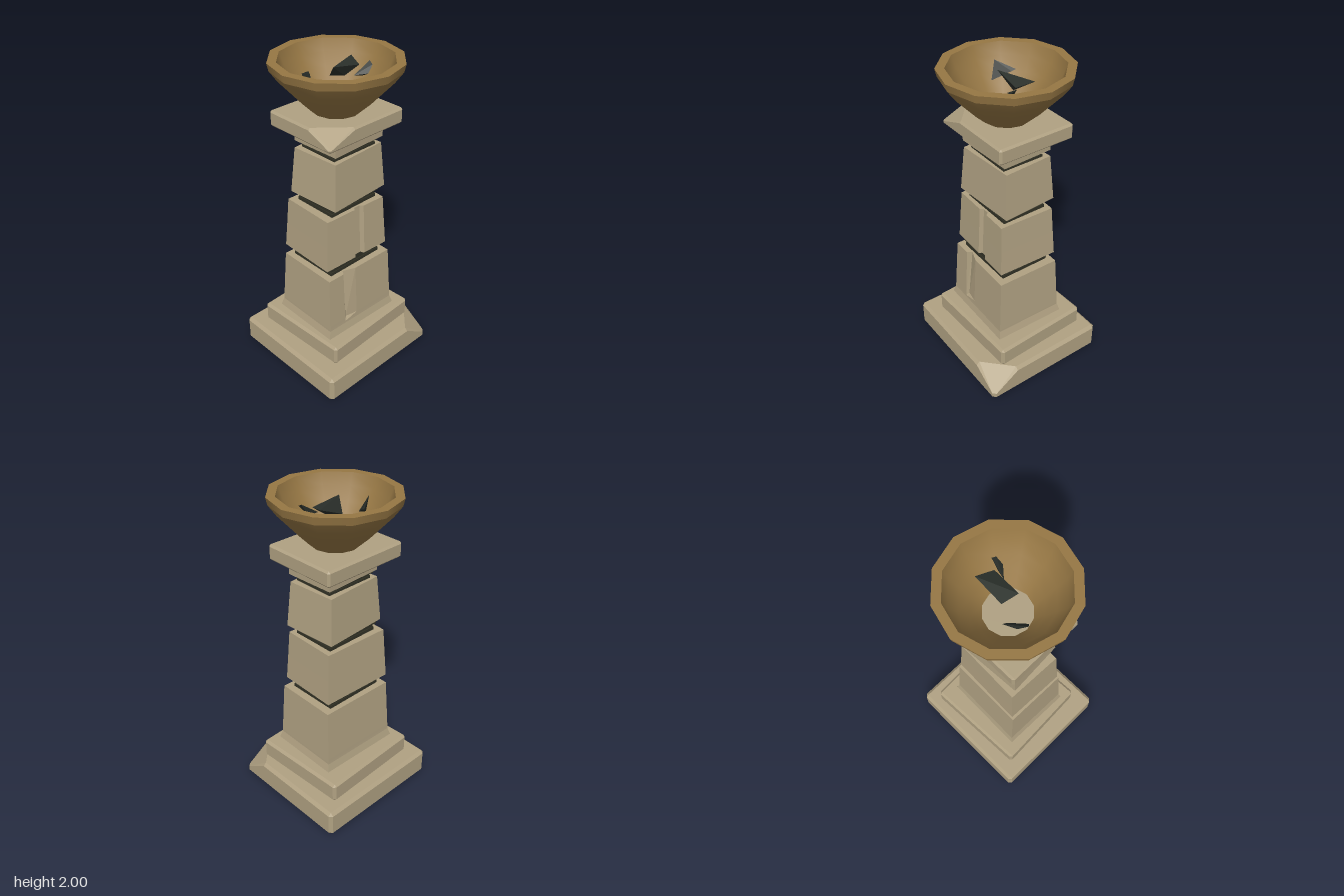
import * as THREE from 'three';
import { ConvexGeometry } from 'three/addons/geometries/ConvexGeometry.js';

const V = (x, y, z) => new THREE.Vector3(x, y, z);

// Bevelled slab; an optional chip slices off one top corner (sx, sz).
// chip.x and chip.z are where the slice meets the top edges, chip.y where it meets the upright edge.
function slab(w, d, y0, y1, c, chip) {
  const pts = [], hx = w / 2, hz = d / 2;
  for (const sx of [-1, 1]) for (const sz of [-1, 1]) for (const top of [0, 1]) {
    const X = sx * hx, Z = sz * hz, xi = sx * (hx - c), zi = sz * (hz - c);
    if (top && chip && chip.sx === sx && chip.sz === sz) {
      pts.push(V(chip.x, y1, zi), V(chip.x, y1 - c, Z), V(xi, y1, chip.z), V(X, y1 - c, chip.z),
        V(xi, chip.y, Z), V(X, chip.y, zi));
    } else {
      const Y = top ? y1 : y0, yi = top ? y1 - c : y0 + c;
      pts.push(V(xi, Y, zi), V(X, yi, zi), V(xi, yi, Z));
    }
  }
  return new ConvexGeometry(pts);
}

// Tapered stone block from rectangular rings [y, width, depth, crackDepth];
// the crack is a list of [x, fraction of crackDepth] along the front edge.
function block(rings, crack = []) {
  const loops = rings.map(([y, w, d, cut = 0]) => [
    V(-w / 2, y, d / 2),
    ...crack.map(([x, f]) => V(x, y, d / 2 - f * cut)),
    V(w / 2, y, d / 2), V(w / 2, y, -d / 2), V(-w / 2, y, -d / 2)]);
  const tris = [], n = loops[0].length, last = loops.length - 1;
  const bottom = V(0, rings[0][0], 0), top = V(0, rings[last][0], 0);
  for (let i = 0; i < n; i++) {
    const j = (i + 1) % n;
    for (let k = 0; k < last; k++) {
      const a = loops[k], b = loops[k + 1];
      tris.push(a[i], a[j], b[j], a[i], b[j], b[i]);
    }
    tris.push(bottom, loops[0][j], loops[0][i], top, loops[last][i], loops[last][j]);
  }
  const g = new THREE.BufferGeometry().setFromPoints(tris);
  g.computeVertexNormals();
  return g;
}

export function createModel() {
  const model = new THREE.Group();
  model.name = 'brazierPedestal';
  const material = (name, color) => {
    const m = new THREE.MeshStandardMaterial({ color });
    m.name = name;
    return m;
  };
  const stone = material('sandstone', 0xb0a182);
  const dark = material('darkBinding', 0x323226);
  const bronze = material('bronze', 0x967744);
  const coal = material('coal', 0x2b302b);

  const add = (name, geometry, mat, x = 0, z = 0, turn = 0, parent = model) => {
    const mesh = new THREE.Mesh(geometry, mat);
    mesh.name = name;
    mesh.position.set(x, 0, z);
    mesh.rotation.y = turn;
    parent.add(mesh);
    return mesh;
  };

  // Base slabs, the lower one with a broken front corner
  add('baseSlab', slab(0.876, 0.83, 0, 0.178, 0.02,
    { sx: 1, sz: 1, x: 0.25, z: 0.23, y: 0.05 }), stone);
  add('upperBaseSlab', slab(0.69, 0.645, 0.175, 0.306, 0.016), stone, 0.01, -0.01, 0.043);

  // Shaft blocks, each turned a little
  add('lowerShaftBlock', block([
    [0.3, 0.56, 0.48], [0.355, 0.528, 0.452], [0.37, 0.527, 0.45],
    [0.39, 0.525, 0.448, 0.014], [0.725, 0.499, 0.41, 0.03],
  ], [[-0.135, 0], [-0.118, 1], [-0.035, 0]]), stone, -0.003, 0.006, -0.02);
  add('middleShaftBlock', block([
    [0.79, 0.483, 0.393, 0.02], [0.95, 0.463, 0.376, 0.02], [1.122, 0.442, 0.359, 0.02],
  ], [[-0.012, 0], [0.004, 1], [0.045, 1], [0.062, 0]]), stone, -0.008, 0, -0.035);
  add('upperShaftBlock', block([[1.187, 0.432, 0.358], [1.475, 0.389, 0.32]]), stone, 0.007, 0.005, 0.06);
  add('neck', block([[1.52, 0.391, 0.324], [1.61, 0.391, 0.324]]), stone, 0.008, 0.01, 0.04);

  // Dark stepped bindings in the gaps between the blocks
  const bindings = [
    ['lowerBinding', 0.722, 0.793, 0.425, 0.352, -0.006, 0.005],
    ['middleBinding', 1.119, 1.19, 0.38, 0.312, 0, 0.003],
    ['upperBinding', 1.472, 1.523, 0.345, 0.29, 0.007, 0.008],
  ];
  for (const [name, y0, y1, w, d, x, z] of bindings) {
    const group = new THREE.Group();
    group.name = name;
    model.add(group);
    const h = (y1 - y0) / 3;
    [0.02, 0.03, 0].forEach((inset, i) => {
      const g = new THREE.BoxGeometry(w - inset, h, d - inset);
      g.translate(0, y0 + h * (i + 0.5), 0);
      add('bindingCourse', g, dark, x, z, 0, group);
    });
  }

  // Cap slab with a broken front corner
  add('capSlab', slab(0.572, 0.494, 1.605, 1.702, 0.012,
    { sx: -1, sz: 1, x: -0.1, z: 0.08, y: 1.625 }), stone);

  // Twelve-sided bowl, separate surfaces keep the rim sharp
  const bowl = new THREE.Group();
  bowl.name = 'bowl';
  model.add(bowl);
  const lathe = (name, profile) => add(name, new THREE.LatheGeometry(
    profile.map(([r, y]) => new THREE.Vector2(r, y)), 12), bronze, 0, 0, 0, bowl);
  lathe('bowlOutside', [[0.14, 1.7], [0.195, 1.75], [0.26, 1.82], [0.325, 1.89], [0.372, 1.955]]);
  lathe('bowlLip', [[0.372, 1.955], [0.382, 2]]);
  lathe('bowlRim', [[0.382, 2], [0.33, 2]]);
  lathe('bowlInside', [[0.33, 2], [0.305, 1.93], [0.255, 1.855], [0.195, 1.775], [0.14, 1.703]]);

  // Coal shards lying in the bowl
  const shards = [
    [[-0.05, 1.963, 0.025], [-0.005, 1.885, -0.05], [0.17, 1.957, -0.06], [0.135, 1.935, 0.04], [0.06, 1.88, 0]],
    [[-0.2, 1.945, -0.06], [-0.165, 1.845, -0.015], [-0.09, 1.91, -0.13], [-0.1, 1.9, -0.105], [-0.15, 1.87, -0.085]],
    [[0.08, 1.89, 0.052], [0.185, 1.955, 0.07], [0.18, 1.94, 0.097], [0.14, 1.9, 0.105], [0.14, 1.88, 0.07]],
  ];
  for (const pts of shards) add('coalShard', new ConvexGeometry(pts.map((p) => V(...p))), coal);

  return model;
}
